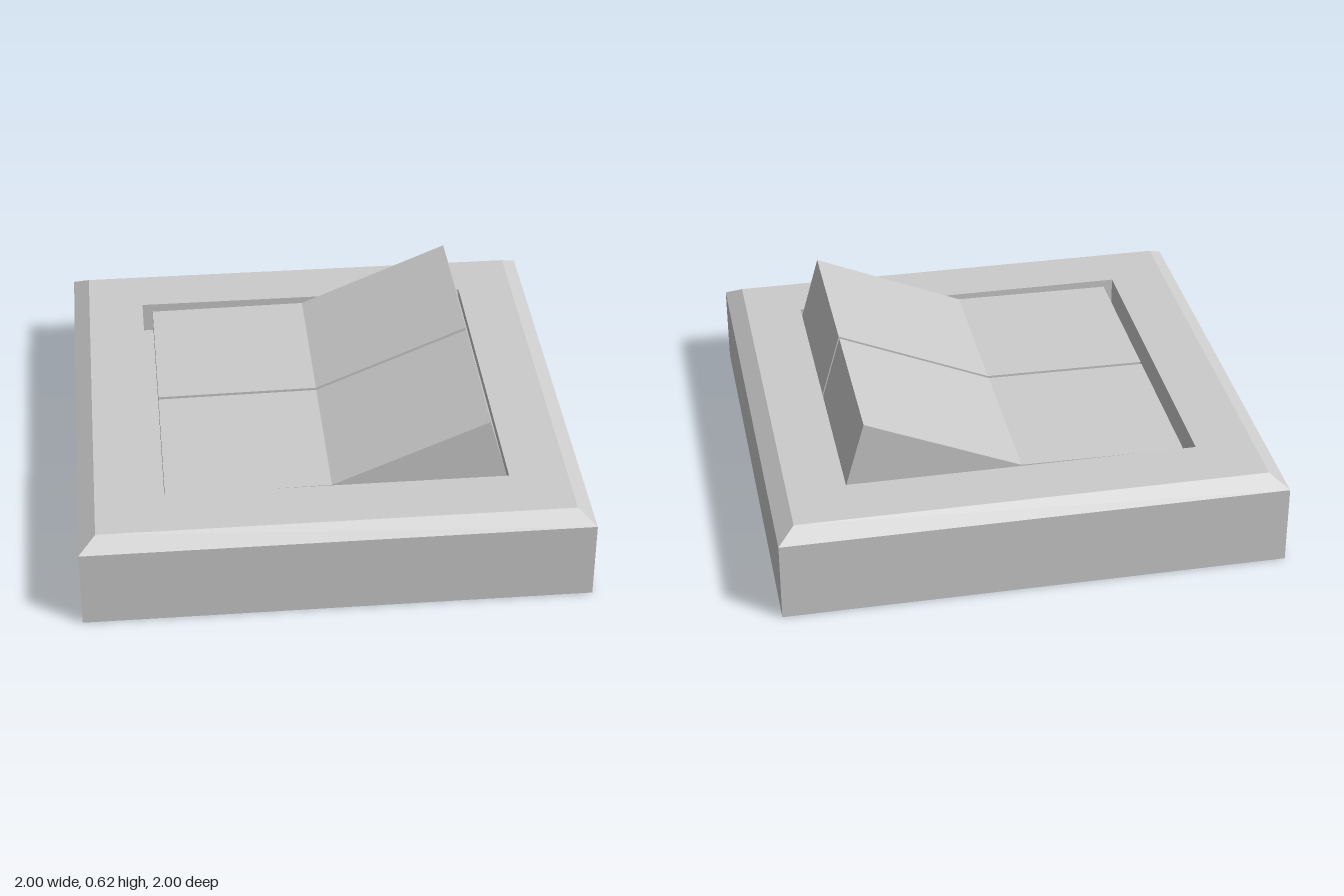
import * as THREE from 'three';
import { toCreasedNormals } from 'three/addons/utils/BufferGeometryUtils.js';

const FLOOR = 0.24; // floor of the recess that holds the rockers

export function createModel() {
  const model = new THREE.Group();
  model.name = 'rockerSwitch';
  const material = new THREE.MeshStandardMaterial({ color: 0xcccccc });

  const add = (geometry, name, crease) => {
    const mesh = new THREE.Mesh(toCreasedNormals(geometry, crease), material);
    mesh.name = name;
    model.add(mesh);
    return mesh;
  };

  // Square frame: half-width and height profile swept round four sides
  const profile = [
    [0, 0], [1, 0], [1, 0.325], [0.932, 0.372],
    [0.7, 0.372], [0.7, FLOOR], [0, FLOOR],
  ].map(([half, y]) => new THREE.Vector2(half * Math.SQRT2, y));
  const frame = new THREE.LatheGeometry(profile, 4).rotateY(Math.PI / 4);
  add(frame, 'frame', 0.1);

  // Rocker side outline: low flat half, raised half and steep end face
  const outline = new THREE.Shape([
    [-0.657, FLOOR], [0.695, FLOOR], [0.695, 0.355],
    [0.62, 0.62], [0, 0.359], [-0.657, 0.352],
  ].map(([x, y]) => new THREE.Vector2(x, y)));

  // Two matching rockers with a narrow gap between them
  for (const [name, back, front] of [
    ['frontRocker', 0.012, 0.679],
    ['backRocker', -0.673, -0.004],
  ]) {
    const rocker = new THREE.ExtrudeGeometry(outline, { depth: front - back, bevelEnabled: false });
    add(rocker, name, 0.2).position.z = back;
  }

  return model;
}
